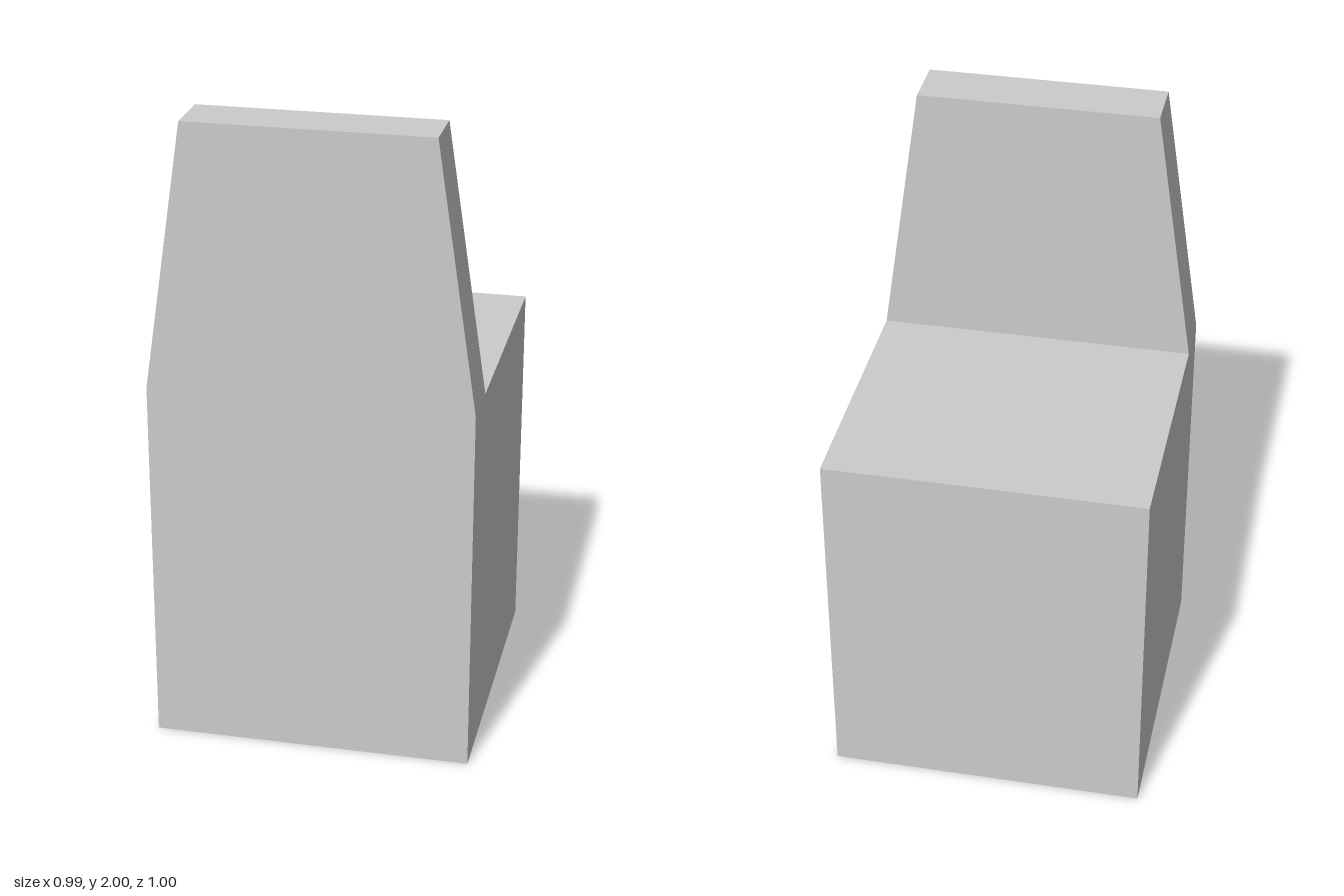
import * as THREE from 'three';

const WIDTH = 0.99, DEPTH = 0.995, SEAT_HEIGHT = 1.17;
const TOP_HEIGHT = 2, TOP_WIDTH = 0.745, BACK_THICKNESS = 0.173;

export function createModel() {
  const group = new THREE.Group();
  group.name = 'blockChair';
  const material = new THREE.MeshStandardMaterial({ color: 0xcccccc, flatShading: true });

  // Solid block seat
  const seat = new THREE.Mesh(new THREE.BoxGeometry(WIDTH, SEAT_HEIGHT, DEPTH), material);
  seat.name = 'seat';
  seat.position.y = SEAT_HEIGHT / 2;
  group.add(seat);

  // Tapered backrest, flush with the +z face of the seat
  const outline = new THREE.Shape([
    new THREE.Vector2(-WIDTH / 2, SEAT_HEIGHT),
    new THREE.Vector2(WIDTH / 2, SEAT_HEIGHT),
    new THREE.Vector2(TOP_WIDTH / 2, TOP_HEIGHT),
    new THREE.Vector2(-TOP_WIDTH / 2, TOP_HEIGHT),
  ]);
  const backrest = new THREE.Mesh(
    new THREE.ExtrudeGeometry(outline, { depth: BACK_THICKNESS, bevelEnabled: false }),
    material
  );
  backrest.name = 'backrest';
  backrest.position.z = DEPTH / 2 - BACK_THICKNESS;
  group.add(backrest);

  return group;
}
